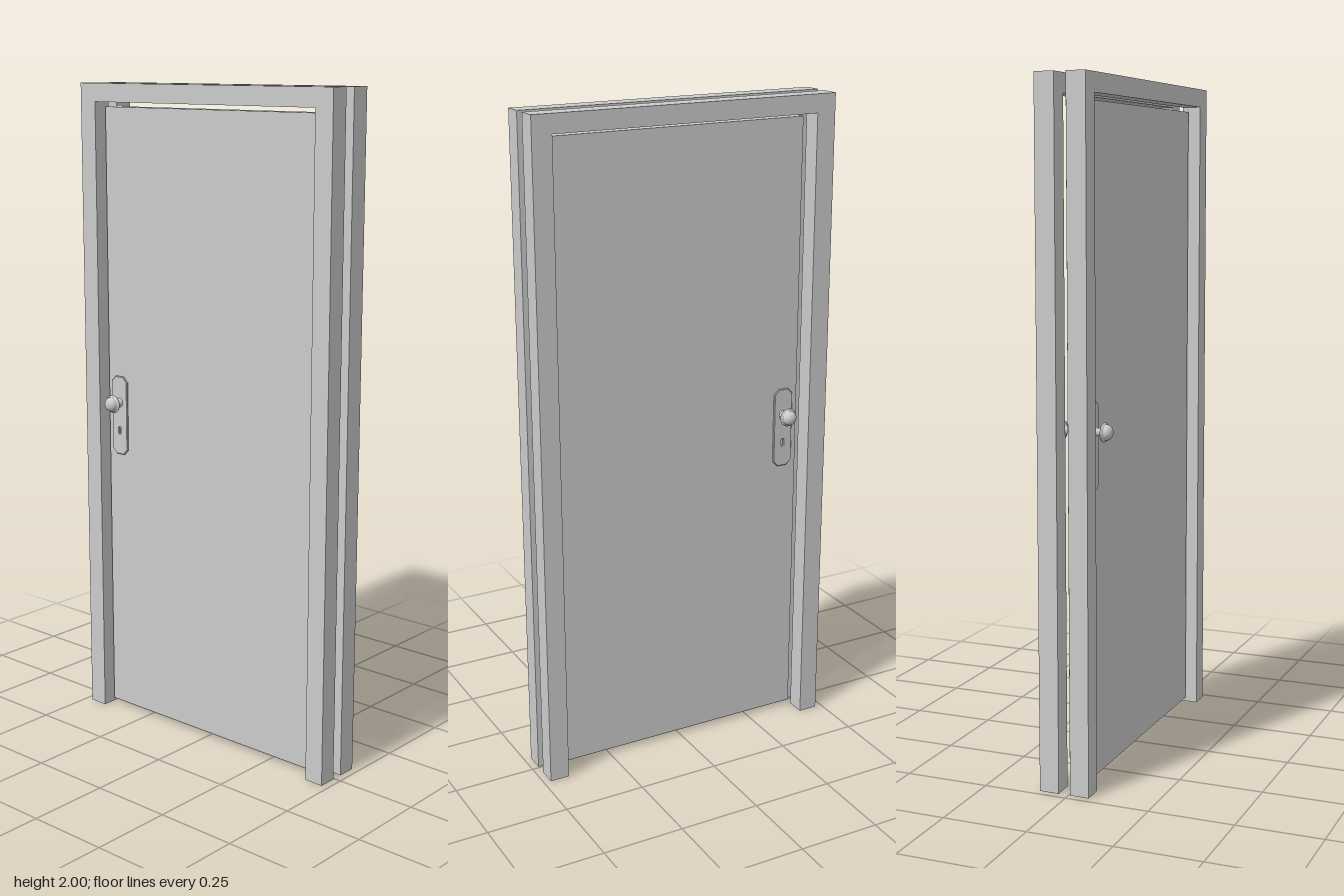
import * as THREE from 'three';

const steel = new THREE.MeshStandardMaterial({ color: 0xcccccc });
const sheet = new THREE.MeshStandardMaterial({ color: 0xcccccc, side: THREE.DoubleSide, flatShading: true });

const OUT = 0.478, IN = 0.418, TOP = 2, IN_TOP = 1.945;
const FACE = 0.026; // half thickness of the leaf

function add(parent, name, geometry, x = 0, y = 0, z = 0, material = steel) {
  const mesh = new THREE.Mesh(geometry, material);
  mesh.name = name;
  mesh.position.set(x, y, z);
  parent.add(mesh);
  return mesh;
}

// Hollow rectangular section swept up one jamb, across the head and down the other; open at the feet
function casingGeometry(z0, z1) {
  const section = [[0, z1], [1, z1], [1, z0], [0, z0]]; // 0 = outer edge, 1 = inner edge
  const stations = [[-1, 0], [-1, 1], [1, 1], [1, 0]]; // side, foot or head
  const pos = [], index = [];
  for (const [side, head] of stations)
    for (const [t, z] of section)
      pos.push(side * (t ? IN : OUT), head * (t ? IN_TOP : TOP), z);
  for (let i = 0; i < 3; i++)
    for (let j = 0; j < 4; j++) {
      const a = i * 4 + j, b = i * 4 + (j + 1) % 4;
      index.push(a, b, a + 4, b, b + 4, a + 4);
    }
  const g = new THREE.BufferGeometry();
  g.setAttribute('position', new THREE.Float32BufferAttribute(pos, 3));
  g.setIndex(index);
  const flat = g.toNonIndexed();
  flat.computeVertexNormals();
  return flat;
}

// Chamfered lock plate with a slot for the key
function plateGeometry() {
  const w = 0.030, h = 0.123, c = 0.015;
  const shape = new THREE.Shape([
    [-w, -h + c], [-w + c, -h], [w - c, -h], [w, -h + c],
    [w, h - c], [w - c, h], [-w + c, h], [-w, h - c],
  ].map(([x, y]) => new THREE.Vector2(x, y)));
  const slot = new THREE.Path();
  slot.absarc(0, -0.041, 0.006, 0, Math.PI);
  slot.absarc(0, -0.055, 0.006, Math.PI, Math.PI * 2);
  slot.closePath();
  shape.holes.push(slot);
  return new THREE.ExtrudeGeometry(shape, {
    depth: 0.004, bevelThickness: 0.002, bevelSize: 0.002, bevelSegments: 1, curveSegments: 8,
  });
}

// Round knob turned about z: neck, flange and dome
function knobGeometry() {
  const p = [[0.017, 0], [0.014, 0.010], [0.011, 0.015], [0.011, 0.025], [0.018, 0.031],
    [0.027, 0.034], [0.0285, 0.037], [0.027, 0.040], [0.0225, 0.041]];
  for (let i = 0; i <= 6; i++) {
    const a = (i / 6) * Math.PI / 2;
    p.push([Math.max(0.0225 * Math.cos(a), 0), 0.044 + 0.0185 * Math.sin(a)]);
  }
  return new THREE.LatheGeometry(p.map(([r, y]) => new THREE.Vector2(r, y)), 32).rotateX(Math.PI / 2);
}

export function createModel() {
  const door = new THREE.Group();
  door.name = 'door';

  // Frame: separate front and back casings
  add(door, 'frontCasing', casingGeometry(0.005, 0.062), 0, 0, 0, sheet);
  add(door, 'backCasing', casingGeometry(-0.0885, -0.030), 0, 0, 0, sheet);

  // Leaf
  add(door, 'leaf', new THREE.BoxGeometry(0.82, 1.915, FACE * 2), 0, 0.015 + 1.915 / 2, 0);

  // Plate and knob on both faces
  const plate = plateGeometry(), knob = knobGeometry();
  for (const side of [1, -1]) {
    const handle = new THREE.Group();
    handle.name = side > 0 ? 'frontHandle' : 'backHandle';
    handle.position.set(-0.36, 0.98, side * FACE);
    if (side < 0) handle.rotation.y = Math.PI;
    add(handle, 'lockPlate', plate, 0, 0, 0.002);
    add(handle, 'knob', knob, 0, 0.042, 0);
    door.add(handle);
  }

  // Two hinges: leaf plates and a split knuckle
  for (const y of [0.42, 1.635]) {
    const hinge = new THREE.Group();
    hinge.name = 'hinge';
    hinge.position.set(0.411, y, -0.016);
    add(hinge, 'hingePlate', new THREE.BoxGeometry(0.004, 0.155, 0.02));
    for (const s of [-1, 1])
      add(hinge, 'knuckle', new THREE.CylinderGeometry(0.005, 0.005, 0.075, 16), 0.002, s * 0.039, -0.003);
    door.add(hinge);
  }
  return door;
}
